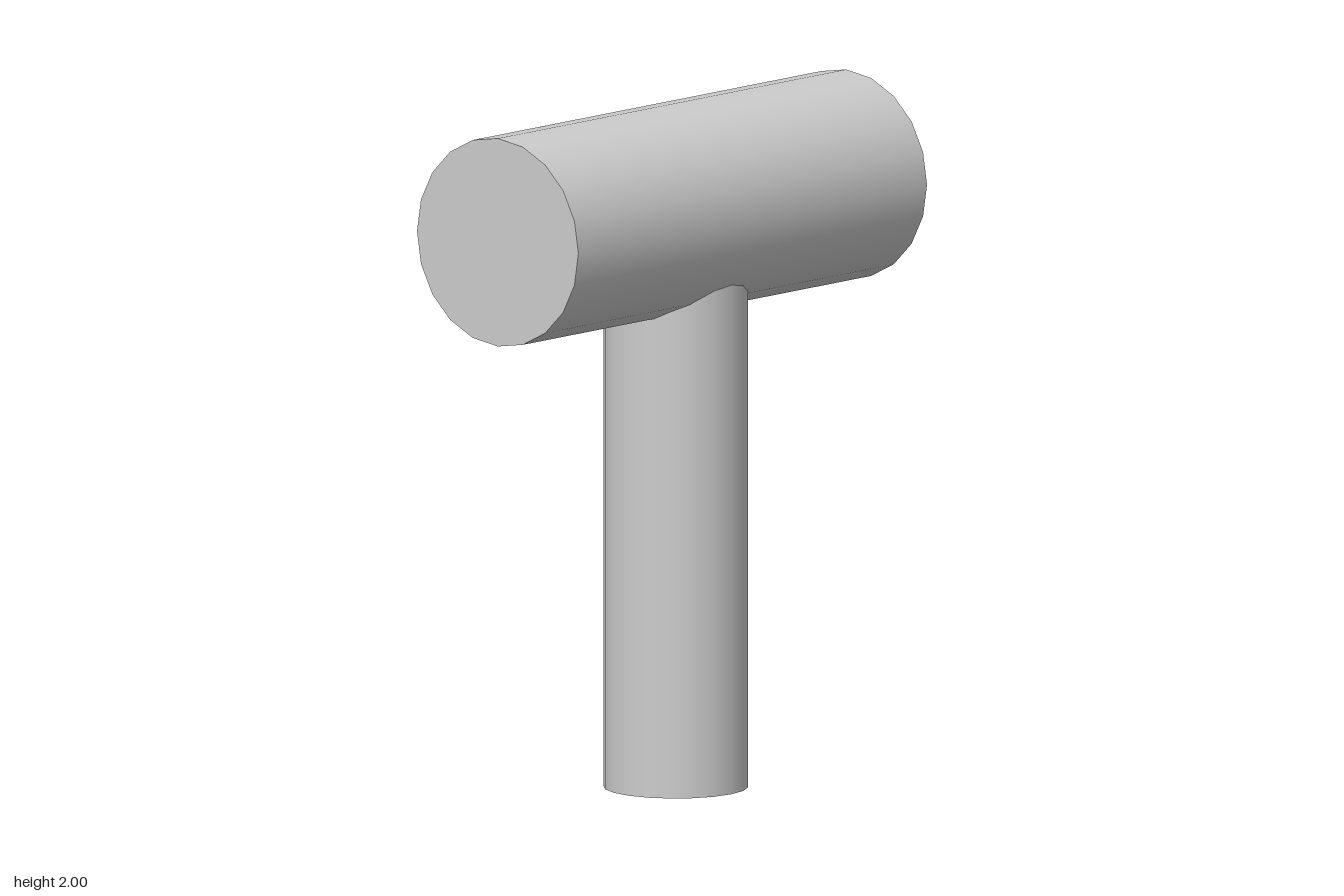
import * as THREE from 'three';

const SIDES = 20;

export function createModel() {
  const group = new THREE.Group();
  const material = new THREE.MeshStandardMaterial({ color: 0xcccccc });

  const addCylinder = (name, radius, length) => {
    const mesh = new THREE.Mesh(new THREE.CylinderGeometry(radius, radius, length, SIDES), material);
    mesh.name = name;
    group.add(mesh);
    return mesh;
  };

  // Mallet head, lying front to back
  const head = addCylinder('head', 0.305, 1.565);
  head.rotation.x = Math.PI / 2;
  head.position.y = 1.695;

  // Upright handle, slightly off centre, its top sunk into the head
  const handleLength = 1.65;
  const handle = addCylinder('handle', 0.21, handleLength);
  handle.position.set(0.014, handleLength / 2, 0);

  return group;
}
